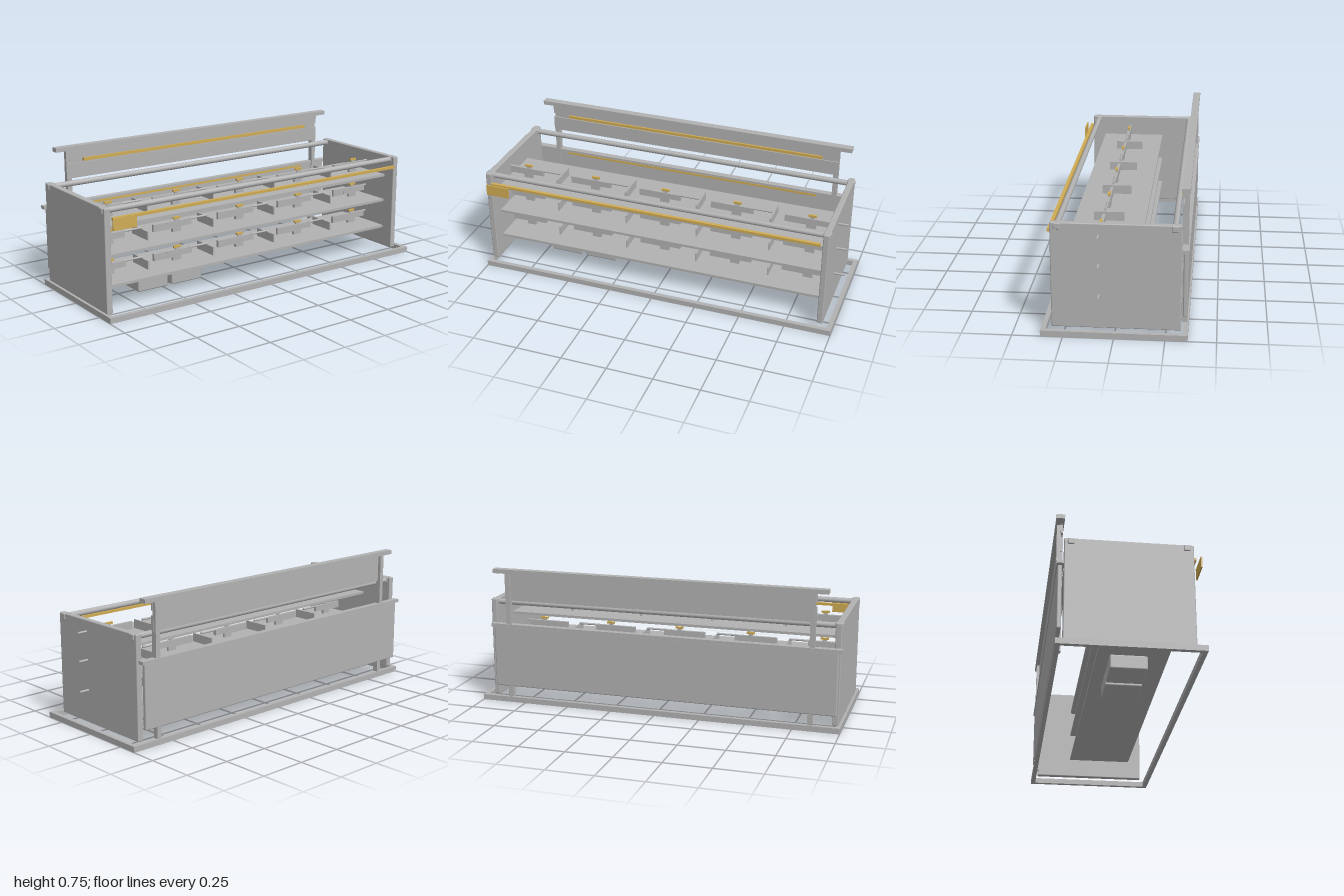
import * as THREE from 'three';
import { RoundedBoxGeometry } from 'three/addons/geometries/RoundedBoxGeometry.js';

export function createModel() {
  const model = new THREE.Group();
  model.name = 'displayRack';
  const grey = new THREE.MeshStandardMaterial({ color: 0xb2b2b2 });
  grey.name = 'grey';
  const brass = new THREE.MeshStandardMaterial({ color: 0xcfab54 });
  brass.name = 'brass';

  const add = (parent, name, geo, mat, x, y, z) => {
    const mesh = new THREE.Mesh(geo, mat);
    mesh.name = name;
    mesh.position.set(x, y, z);
    parent.add(mesh);
    return mesh;
  };
  // Box given by its limits on each axis, with optional rounded edges
  const box = (name, [x0, x1], [y0, y1], [z0, z1], mat = grey, radius = 0, parent = model) => {
    const s = [x1 - x0, y1 - y0, z1 - z0];
    const geo = radius ? new RoundedBoxGeometry(...s, 2, radius) : new THREE.BoxGeometry(...s);
    return add(parent, name, geo, mat, (x0 + x1) / 2, (y0 + y1) / 2, (z0 + z1) / 2);
  };
  // Round bar along x
  const rod = (name, x0, x1, y, z, r, sides, parent = model) => {
    const geo = new THREE.CylinderGeometry(r, r, x1 - x0, sides).rotateZ(Math.PI / 2);
    return add(parent, name, geo, grey, (x0 + x1) / 2, y, z);
  };

  // Open base frame
  box('baseFront', [-1, 1], [0, 0.03], [0.336, 0.36]);
  box('baseBack', [-1, 1], [0, 0.03], [-0.36, -0.336]);
  box('baseRight', [-1, -0.976], [0, 0.03], [-0.336, 0.336]);
  box('baseLeft', [0.976, 1], [0, 0.03], [-0.336, 0.336]);

  // Side panels
  box('rightPanel', [-0.988, -0.955], [0.03, 0.575], [-0.325, 0.31], grey, 0.005);
  box('leftPanel', [0.914, 0.946], [0.03, 0.575], [-0.325, 0.31], grey, 0.005);

  // Top rails with square end caps
  for (const z of [0.276, -0.292]) {
    rod('topRail', -0.96, 0.92, 0.557, z, 0.015, 16);
    box('railCap', [-0.993, -0.95], [0.541, 0.575], [z - 0.017, z + 0.017], grey, 0.006);
    box('railCap', [0.91, 0.951], [0.541, 0.575], [z - 0.017, z + 0.017], grey, 0.006);
  }

  // Three shelves, each with dividers and five display pieces
  for (const top of [0.15, 0.31, 0.46]) {
    box('shelf', [-0.955, 0.914], [top - 0.014, top], [-0.126, 0.236]);
    for (let i = 0; i < 4; i++) {
      const x = -0.64 + i * 0.411;
      box('divider', [x - 0.004, x + 0.004], [top, top + 0.047], [-0.02, 0.135]);
    }
    for (let i = 0; i < 5; i++) {
      const piece = new THREE.Group();
      piece.name = 'displayPiece';
      piece.position.set(-0.838 + i * 0.411, top + 0.055, 0.077);
      model.add(piece);
      box('rearBlock', [-0.148, -0.03], [-0.036, 0.003], [-0.008, 0.008], grey, 0, piece);
      box('body', [-0.07, 0.09], [-0.03, 0.003], [-0.009, 0.009], grey, 0, piece);
      box('foot', [-0.03, 0.022], [-0.055, -0.03], [-0.008, 0.008], grey, 0, piece);
      box('neck', [-0.012, 0.012], [0.003, 0.013], [-0.005, 0.005], grey, 0, piece);
      box('topMark', [-0.022, 0.022], [0.013, 0.024], [-0.006, 0.006], brass, 0, piece);
      rod('bar', 0.08, 0.193, 0, 0, 0.006, 12, piece);
    }
  }

  // Two cases under the lowest shelf
  box('case', [-0.695, -0.513], [0.03, 0.105], [-0.07, 0.12], grey, 0.008);
  box('case', [-0.488, -0.3], [0.03, 0.105], [-0.07, 0.12], grey, 0.008);
  box('caseLatch', [-0.513, -0.508], [0.07, 0.08], [-0.03, 0], brass);

  // Back panel with its top rail and strip
  box('backPanel', [-0.98, 0.92], [0.09, 0.43], [-0.355, -0.333], grey, 0.006);
  box('backRail', [-1, 0.935], [0.427, 0.445], [-0.36, -0.325]);
  box('backStrip', [-0.78, 0.735], [0.42, 0.432], [-0.333, -0.323], brass);

  // Rear posts, notched behind the sign
  for (const x of [-0.843, 0.835]) {
    const w = [x - 0.013, x + 0.013];
    box('rearPost', w, [0.03, 0.655], [-0.354, -0.324]);
    box('postNotch', w, [0.655, 0.68], [-0.354, -0.332]);
    box('postTop', w, [0.68, 0.727], [-0.354, -0.324]);
  }

  // Header: two planks joined by a recessed strip, with a cap and light strip
  box('lowerPlank', [-0.86, 0.85], [0.575, 0.655], [-0.337, -0.323]);
  box('recess', [-0.835, 0.825], [0.655, 0.68], [-0.337, -0.33]);
  box('upperPlank', [-0.86, 0.85], [0.68, 0.727], [-0.337, -0.323]);
  box('headerCap', [-0.92, 0.915], [0.727, 0.75], [-0.36, -0.318]);
  box('headerStrip', [-0.76, 0.755], [0.663, 0.679], [-0.33, -0.315], brass);

  // Front strip and label plate
  box('frontStrip', [-0.95, 0.905], [0.513, 0.527], [0.31, 0.328], brass);
  box('labelPlate', [-0.965, -0.832], [0.47, 0.53], [0.347, 0.354], brass);

  return model;
}
